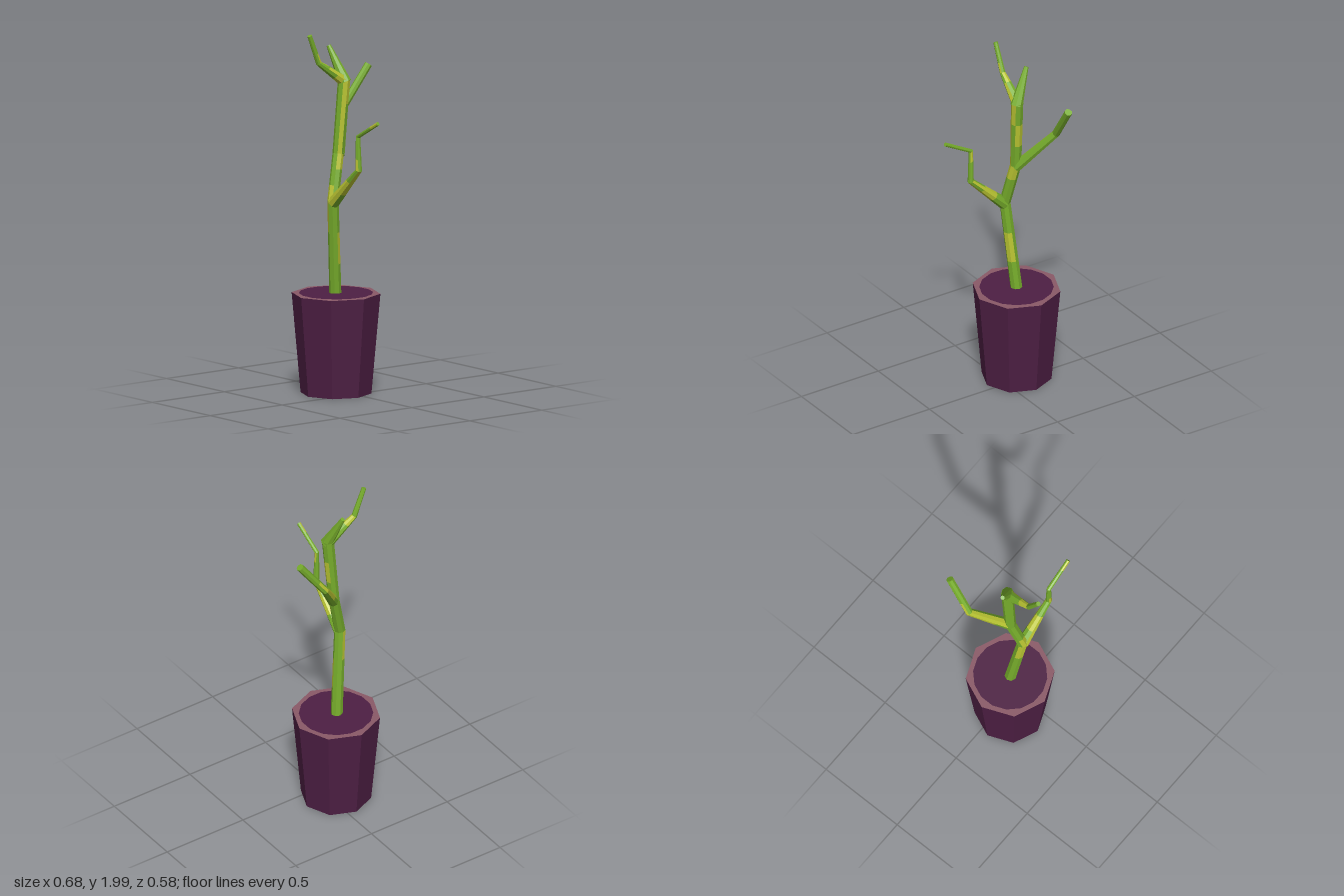
import * as THREE from 'three';

const mat = (name, color) => {
  const m = new THREE.MeshStandardMaterial({ color, flatShading: true });
  m.name = name;
  return m;
};

const SIDES = 8, PIECES = 3;

// Faceted limb through points [x, y, z, radius]. Each span is cut into pieces;
// "patches" maps a piece number to the facets painted in the second colour.
function limb(name, points, refAxis, materials, patches) {
  const centres = points.map(p => new THREE.Vector3(p[0], p[1], p[2]));
  const rings = centres.map((c, i) => {
    const t = new THREE.Vector3();
    if (i > 0) t.add(c.clone().sub(centres[i - 1]).normalize());
    if (i < centres.length - 1) t.add(centres[i + 1].clone().sub(c).normalize());
    t.normalize();
    const u = refAxis.clone().addScaledVector(t, -refAxis.dot(t)).normalize();
    const w = t.clone().cross(u);
    return Array.from({ length: SIDES }, (_, j) => {
      const a = (j / SIDES) * Math.PI * 2, r = points[i][3];
      return c.clone().addScaledVector(u, Math.cos(a) * r).addScaledVector(w, Math.sin(a) * r);
    });
  });

  const faces = [[], []];
  const tri = (k, a, b, c) => [a, b, c].forEach(v => faces[k].push(v.x, v.y, v.z));
  for (let i = 0; i < rings.length - 1; i++) {
    for (let s = 0; s < PIECES; s++) {
      const painted = patches[i * PIECES + s] || [];
      for (let j = 0; j < SIDES; j++) {
        const n = (j + 1) % SIDES;
        const at = (q, f) => rings[i][q].clone().lerp(rings[i + 1][q], f / PIECES);
        const a = at(j, s), b = at(n, s), c = at(n, s + 1), d = at(j, s + 1);
        const k = painted.includes(j) ? 1 : 0;
        tri(k, a, b, c);
        tri(k, a, c, d);
      }
    }
  }
  // End caps
  const last = rings.length - 1;
  for (let j = 0; j < SIDES; j++) {
    const n = (j + 1) % SIDES;
    tri(0, centres[last], rings[last][j], rings[last][n]);
    tri(0, centres[0], rings[0][n], rings[0][j]);
  }

  const geo = new THREE.BufferGeometry();
  geo.setAttribute('position', new THREE.Float32BufferAttribute(faces[0].concat(faces[1]), 3));
  geo.addGroup(0, faces[0].length / 3, 0);
  geo.addGroup(faces[0].length / 3, faces[1].length / 3, 1);
  geo.computeVertexNormals();
  const mesh = new THREE.Mesh(geo, materials);
  mesh.name = name;
  return mesh;
}

export function createModel() {
  const model = new THREE.Group();
  model.name = 'pottedPlant';
  const plum = mat('plum', 0x4e1f44);
  const rose = mat('dusty rose', 0x8a5967);
  const bark = [mat('leaf green', 0x76ac2b), mat('lime', 0xb9c432)];
  const X = new THREE.Vector3(1, 0, 0), Z = new THREE.Vector3(0, 0, 1);

  // Tapered octagonal pot: the soil is a thin plate with clipped corners on the rim face
  const pot = new THREE.Group();
  pot.name = 'pot';
  pot.position.set(-0.098, 0, 0.047);
  const add = (name, geo, material, y, rotX) => {
    const m = new THREE.Mesh(geo, material);
    m.name = name;
    m.position.y = y;
    m.rotation.x = rotX;
    pot.add(m);
  };
  add('potWall', new THREE.CylinderGeometry(0.242, 0.193, 0.55, 8, 1, true), plum, 0.275, 0);
  add('potBase', new THREE.CircleGeometry(0.193, 8), rose, 0, Math.PI / 2);
  add('potRim', new THREE.CircleGeometry(0.242, 8), rose, 0.55, -Math.PI / 2);
  add('soil', new THREE.CircleGeometry(0.202, 16, Math.PI / 16), plum, 0.552, -Math.PI / 2);
  model.add(pot);

  // Trunk and its forks
  model.add(
    limb('trunk', [
      [-0.1, 0.54, 0.05, 0.033], [-0.058, 1.07, 0.1, 0.031],
      [-0.088, 1.32, 0.04, 0.031], [-0.076, 1.73, 0.008, 0.034],
    ], Z, bark, { 1: [2, 3], 2: [6, 7], 3: [7, 0], 5: [1, 2, 3], 6: [1], 7: [1, 3, 4], 8: [1, 2] }),

    limb('leftBranch', [
      [-0.055, 1.06, 0.1, 0.034], [0.165, 1.27, 0.1, 0.018],
      [0.162, 1.455, 0.103, 0.013], [0.33, 1.55, 0.1, 0.011],
    ], Z, bark, { 0: [7, 0], 1: [0, 1, 2, 3, 4, 5, 6, 7], 2: [1, 2, 4], 3: [0, 7], 5: [3, 4], 8: [0, 6, 7] }),

    limb('rightBranch', [
      [-0.088, 1.31, 0.035, 0.031], [-0.24, 1.545, -0.125, 0.022], [-0.22, 1.755, -0.277, 0.021],
    ], X, bark, { 0: [5, 6], 1: [4, 5, 6], 2: [4, 5, 6], 3: [4] }),

    limb('upperTwig', [
      [-0.07, 1.71, 0.006, 0.035], [-0.162, 1.905, 0.047, 0.012],
    ], Z, bark, {}),

    limb('frontTwig', [
      [-0.08, 1.72, 0.012, 0.032], [-0.091, 1.83, 0.172, 0.016], [-0.089, 1.99, 0.238, 0.013],
    ], X, bark, { 0: [0, 5, 6, 7], 1: [0, 5], 2: [1, 2, 3], 3: [0] }),
  );
  return model;
}
